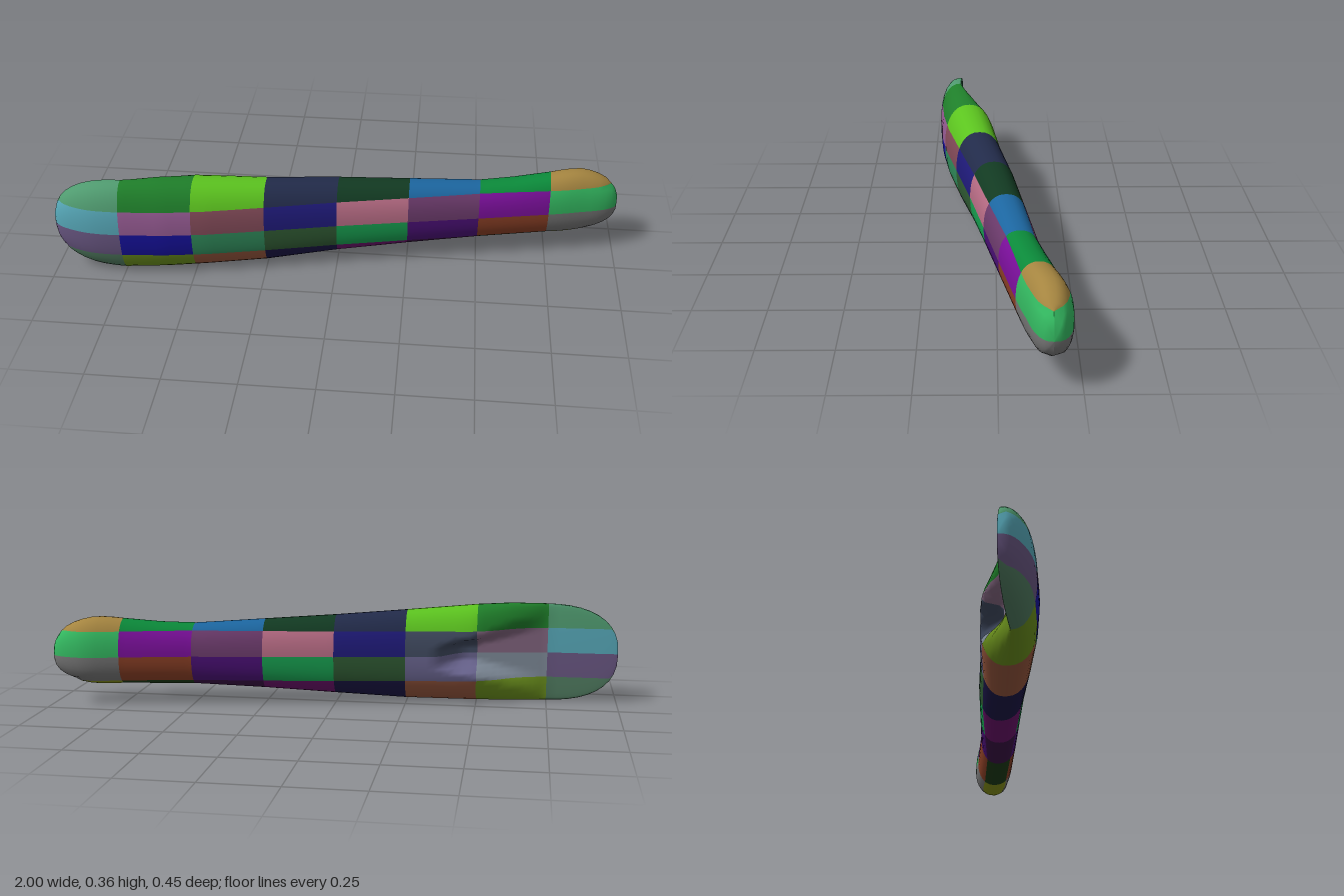
import * as THREE from 'three';

// Piecewise linear lookup in a list of [x, value]
function at(list, x) {
  for (let i = 1; i < list.length; i++) {
    const [x0, a] = list[i - 1], [x1, b] = list[i];
    if (x <= x1) return a + (b - a) * (x - x0) / (x1 - x0);
  }
  return list[list.length - 1][1];
}

// Outlines along the length
const TOP = [[-1, 0.35], [-0.85, 0.355], [-0.62, 0.36], [-0.5, 0.355], [-0.25, 0.336], [0, 0.32], [0.25, 0.305], [0.5, 0.29], [0.62, 0.295], [0.75, 0.308], [0.85, 0.322], [1, 0.325]];
const BOTTOM = [[-1, 0.008], [-0.75, 0.002], [-0.6, 0.003], [-0.25, 0.015], [0, 0.036], [0.25, 0.055], [0.5, 0.07], [0.75, 0.074], [0.85, 0.07], [1, 0.07]];
const FRONT = [[-1, 0.215], [-0.85, 0.225], [-0.75, 0.222], [-0.6, 0.212], [-0.45, 0.19], [-0.25, 0.147], [0, 0.092], [0.25, 0.043], [0.5, -0.005], [0.75, -0.055], [0.87, -0.08], [1, -0.09]];
const BACK = [[-1, 0.13], [-0.75, 0.13], [-0.5, 0.005], [-0.45, -0.005], [-0.25, -0.03], [0, -0.075], [0.25, -0.11], [0.5, -0.145], [0.75, -0.198], [0.87, -0.232], [1, -0.24]];
const EDGE = [[-1, 0.135], [-0.75, 0.14], [-0.5, 0.1], [-0.25, 0.058], [0, 0.005], [0.25, -0.035], [0.5, -0.075], [0.75, -0.125], [0.88, -0.152], [1, -0.16]];

const LEVELS = [0.09, 0.18, 0.27];
const COLS = 8, ROWS = 4, NX = 10, NY = 6, SIDE = ROWS * NY, RING = 2 * SIDE;
const MID = 0.18;

// Colours of the blocks, bottom row first
const COLORS = [
  [0x4f7a5f, 0x6a8f1c, 0x95553c, 0x1a1445, 0x6a0f6a, 0x3a0f45, 0x1c3a14, 0x859018],
  [0x675580, 0x15109a, 0x2f8a5a, 0x2f5a33, 0x17a050, 0x4a0f75, 0x8a3f25, 0x747474],
  [0x55a5b5, 0x955a92, 0x824a58, 0x1f1a7a, 0xb86c85, 0x6b3a6b, 0x7a0f9a, 0x33b860],
  [0x4f9a6f, 0x1f7f2a, 0x5cc41f, 0x222b4a, 0x123a22, 0x1c66a0, 0x0b8a3a, 0xa58540],
];
// Blocks whose back differs: key is row, column
const BACK_COLORS = { '1,1': 0x7f8b99, '2,1': 0x82657f, '1,2': 0x6a6590, '2,2': 0x404a60 };

// Position along the length, denser towards the rounded ends
function station(i) {
  const x = -1 + (2 * i) / (COLS * NX);
  const t = (Math.abs(x) - 0.75) / 0.25;
  return t > 0 ? Math.sign(x) * (0.75 + 0.25 * Math.sin(t * Math.PI / 2)) : x;
}

const round = (v, p) => Math.pow(Math.max(0, 1 - Math.pow(Math.min(1, Math.abs(v)), p)), 1 / p);

// One closed cross-section: up the front, down the back
function crossSection(x) {
  const end = round(Math.max(0, (Math.abs(x) - 0.75) / 0.25), 2.5);
  const top = MID + (at(TOP, x) - MID) * end;
  const bottom = MID + (at(BOTTOM, x) - MID) * end;
  const edge = at(EDGE, x);
  const clamp = y => Math.min(top, Math.max(bottom, y));
  const limits = [bottom, ...LEVELS.map(clamp), top];
  const points = [];
  for (let k = 0; k < RING; k++) {
    const isFront = k <= SIDE, n = isFront ? k : RING - k;
    const row = Math.min(ROWS - 1, Math.floor(n / NY));
    let t = n / NY - row;
    if (row === ROWS - 1) t = Math.sin(t * Math.PI / 2);
    if (row === 0) t = 1 - Math.sin((1 - t) * Math.PI / 2);
    const y = limits[row] + (limits[row + 1] - limits[row]) * t;
    const v = y > MID ? (y - MID) / (top - MID || 1) : (MID - y) / (MID - bottom || 1);
    const s = n === 0 || n === SIDE ? 0 : round(v, 2.3) * end;
    let z = edge + (at(isFront ? FRONT : BACK, x) - edge) * s;
    // Tapered hollow in the back of the wide end
    if (!isFront && x > -0.75 && x < -0.36) {
      const width = at([[-0.75, 0.9], [-0.5, 0.4], [-0.36, 0.25]], x);
      const depth = at([[-0.75, 0.13], [-0.44, 0.075], [-0.36, -0.02]], x);
      const w = 1 - THREE.MathUtils.smoothstep(v, width * 0.5, width);
      z += Math.max(0, depth - z) * w;
    }
    points.push(x, y, z);
  }
  return points;
}

export function createModel() {
  const group = new THREE.Group();
  group.name = 'handle';

  // Whole skin, for normals that run smoothly across the blocks
  const stations = COLS * NX + 1, positions = [];
  for (let i = 0; i < stations; i++) positions.push(...crossSection(station(i)));
  const skin = new THREE.BufferGeometry();
  skin.setAttribute('position', new THREE.Float32BufferAttribute(positions, 3));
  const quad = (i, k) => {
    const a = i * RING + k, b = i * RING + (k + 1) % RING;
    return [a, a + RING, b + RING, a, b + RING, b];
  };
  const all = [];
  for (let i = 0; i < stations - 1; i++) for (let k = 0; k < RING; k++) all.push(...quad(i, k));
  skin.setIndex(all);
  skin.computeVertexNormals();

  // Cut a patch of the skin out as its own coloured block
  const addBlock = (name, col, starts, color) => {
    const index = [];
    for (let i = col * NX; i < (col + 1) * NX; i++)
      for (const start of starts)
        for (let k = start; k < start + NY; k++) index.push(...quad(i, k));
    skin.setIndex(index);
    const mesh = new THREE.Mesh(skin.toNonIndexed(), new THREE.MeshStandardMaterial({ color }));
    mesh.name = name;
    group.add(mesh);
  };

  for (let row = 0; row < ROWS; row++) {
    for (let col = 0; col < COLS; col++) {
      const front = row * NY, back = RING - (row + 1) * NY;
      const part = col === 0 ? 'wideEnd' : col === COLS - 1 ? 'knobEnd' : 'shaft';
      const name = `${part}Block_${row}_${col}`;
      const backColor = BACK_COLORS[`${row},${col}`];
      addBlock(name, col, backColor ? [front] : [front, back], COLORS[row][col]);
      if (backColor) addBlock(name + '_back', col, [back], backColor);
    }
  }
  return group;
}
